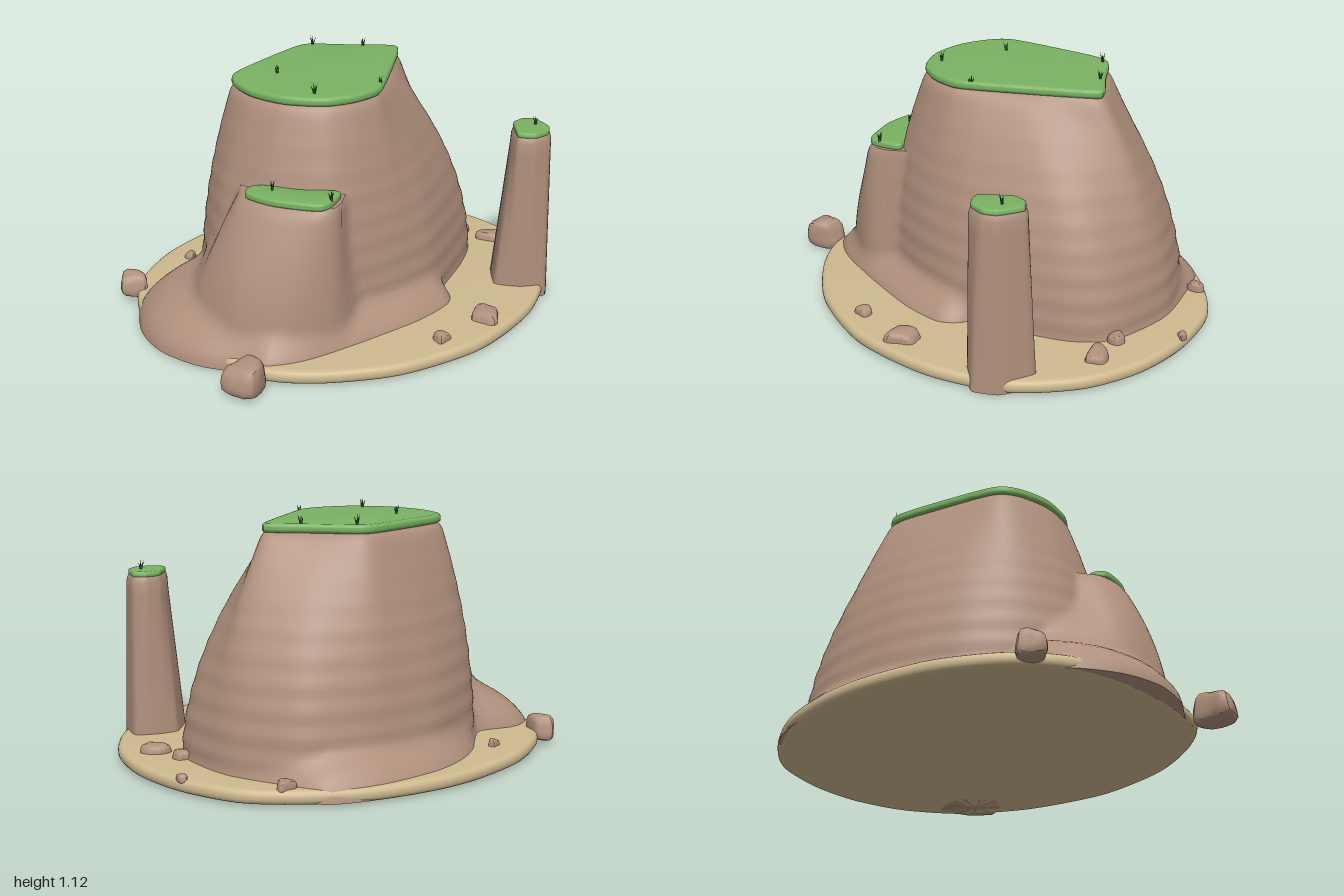
import * as THREE from 'three';
import { toCreasedNormals } from 'three/addons/utils/BufferGeometryUtils.js';

const material = (name, color) => Object.assign(new THREE.MeshStandardMaterial({ color }), { name });
const rock = material('rock', 0xb0907c);
const sand = material('sand', 0xcdb98f);
const grass = material('grass', 0x79b262);
const blade = material('blade', 0x40602f);

// Closed smooth outline through [x, z] points
function outline(points, tension = 0.4, count = 240) {
  const curve = new THREE.CatmullRomCurve3(
    points.map(([x, z]) => new THREE.Vector3(x, 0, z)), true, 'catmullrom', tension);
  return curve.getSpacedPoints(count).slice(0, -1);
}

// Radii of an outline seen from (cx, cz), one for each of n directions
function radii(points, n, tension, cx = 0, cz = 0) {
  const loop = outline(points, tension);
  return Array.from({ length: n }, (_, i) => {
    const a = (i / n) * Math.PI * 2, dx = Math.cos(a), dz = Math.sin(a);
    let best = 0.02;
    loop.forEach((p, k) => {
      const q = loop[(k + 1) % loop.length];
      const px = p.x - cx, pz = p.z - cz, ex = q.x - p.x, ez = q.z - p.z;
      const det = dx * ez - dz * ex;
      if (Math.abs(det) < 1e-9) return;
      const r = (px * ez - pz * ex) / det, t = (px * dz - pz * dx) / det;
      if (t >= 0 && t <= 1 && r > best) best = r;
    });
    return best;
  });
}

// Closed surface of stacked rings; radius(i, y) gives each vertex
function loft(n, ys, radius, cx = 0, cz = 0) {
  const pos = [], idx = [];
  ys.forEach((y, j) => {
    for (let i = 0; i < n; i++) {
      const a = (i / n) * Math.PI * 2, r = radius(i, y);
      pos.push(cx + Math.cos(a) * r, y, cz + Math.sin(a) * r);
      if (j === 0) continue;
      const a1 = j * n + i, b1 = j * n + (i + 1) % n;
      idx.push(a1 - n, a1, b1 - n, b1 - n, a1, b1);
    }
  });
  const top = (ys.length - 1) * n, c0 = ys.length * n;
  pos.push(cx, ys[0], cz, cx, ys[ys.length - 1], cz);
  for (let i = 0; i < n; i++) {
    const k = (i + 1) % n;
    idx.push(c0, i, k, c0 + 1, top + k, top + i);
  }
  const g = new THREE.BufferGeometry();
  g.setAttribute('position', new THREE.Float32BufferAttribute(pos, 3));
  g.setIndex(idx);
  return toCreasedNormals(g, 0.8);
}

// Flat slab with a rounded rim
function slab(points, y, height, rim, tension) {
  const shape = new THREE.Shape(outline(points, tension, 120).map(p => new THREE.Vector2(p.x, -p.z)));
  const g = new THREE.ExtrudeGeometry(shape, {
    depth: height - 2 * rim, bevelThickness: rim, bevelSize: rim, bevelOffset: -rim, bevelSegments: 4 });
  g.rotateX(-Math.PI / 2).translate(0, y + rim, 0);
  return toCreasedNormals(g, 0.7);
}

const smoothMax = (a, b, k) => {
  const h = Math.max(k - Math.abs(a - b), 0) / k;
  return Math.max(a, b) + h * h * k * 0.25;
};

const mesaTop = [[0.46, -0.2], [0.45, -0.14], [0.25, 0.05], [0.06, 0.22], [-0.02, 0.27], [-0.15, 0.28], [-0.28, 0.24],
  [-0.4, 0.11], [-0.45, -0.06], [-0.43, -0.22], [-0.36, -0.31], [-0.1, -0.41], [0.1, -0.47], [0.18, -0.45], [0.32, -0.32]];
const mesaBase = [[0.79, -0.12], [0.77, 0.03], [0.68, 0.15], [0.5, 0.27], [0.2, 0.42], [-0.1, 0.45], [-0.4, 0.4], [-0.6, 0.15],
  [-0.65, -0.1], [-0.56, -0.34], [-0.4, -0.52], [-0.1, -0.67], [0.25, -0.7], [0.55, -0.62], [0.74, -0.38]];
const ledgeTop = [[-0.52, 0], [-0.62, 0.09], [-0.62, 0.2], [-0.57, 0.31], [-0.47, 0.44], [-0.38, 0.46], [-0.28, 0.38],
  [-0.1, 0.18], [0.06, 0], [-0.1, -0.08]];
const ledgeBase = [[-0.62, -0.28], [-0.8, -0.13], [-0.84, 0.05], [-0.8, 0.28], [-0.65, 0.45], [-0.45, 0.51], [-0.29, 0.47],
  [0, 0.25], [0.06, 0], [-0.15, -0.15]];
const footBase = [[0.79, -0.1], [0.76, 0.04], [0.55, 0.24], [0.33, 0.36], [0.3, 0.46], [0.22, 0.54], [0, 0.58], [-0.35, 0.57],
  [-0.62, 0.54], [-0.78, 0.47], [-0.83, 0.36], [-0.94, 0.2], [-1, 0], [-0.98, -0.2], [-0.88, -0.39], [-0.75, -0.45],
  [-0.58, -0.42], [-0.48, -0.48], [-0.36, -0.63], [-0.2, -0.74], [0, -0.81], [0.3, -0.83], [0.52, -0.77], [0.61, -0.67],
  [0.7, -0.5], [0.77, -0.32]];
const ledgeGrass = [[-0.57, 0.09], [-0.62, 0.14], [-0.58, 0.28], [-0.47, 0.43], [-0.4, 0.44], [-0.3, 0.37], [-0.42, 0.25], [-0.51, 0.12]];
const pillarBase = [[0.51, 0.5], [0.62, 0.36], [0.72, 0.365], [0.82, 0.41], [0.79, 0.57], [0.7, 0.65], [0.59, 0.6]];
const pillarTop = [[0.58, 0.54], [0.67, 0.42], [0.74, 0.41], [0.785, 0.45], [0.76, 0.56], [0.71, 0.6], [0.63, 0.6]];
const sandRim = [[1, 0], [0.96, 0.28], [0.8, 0.55], [0.5, 0.75], [0.1, 0.85], [-0.3, 0.8], [-0.6, 0.65], [-0.78, 0.48],
  [-0.88, 0.2], [-0.92, -0.1], [-0.89, -0.36], [-0.75, -0.58], [-0.5, -0.75], [-0.2, -0.84], [0.05, -0.86], [0.35, -0.82],
  [0.62, -0.7], [0.82, -0.54], [0.95, -0.28]];

export function createModel() {
  const model = new THREE.Group();
  const add = (name, geometry, mat) => {
    const mesh = new THREE.Mesh(geometry, mat);
    mesh.name = name;
    model.add(mesh);
    return mesh;
  };

  add('sandBase', slab(sandRim, 0, 0.06, 0.025), sand);

  // Mesa, side ledge and spreading foot blended into one rock
  const n = 160;
  const [mt, mb, lt, lb, fb] = [mesaTop, mesaBase, ledgeTop, ledgeBase, footBase].map(p => radii(p, n, 0.4));
  const flare = (top, base, y, height) => top + (base - top) * (1 - (y / height) ** 2);
  const ys = [0.004];
  for (let y = 0.025; y < 1.0; y += 0.025) ys.push(y);
  ys.push(0.66, 0.668, 0.672, 0.676, 1.0, 1.015, 1.028, 1.037);
  ys.sort((a, b) => a - b);
  add('mesaRock', loft(n, ys, (i, y) => {
    let r = flare(mt[i], mb[i], y, 1.03) + 0.004 * Math.sin(y * 60) * (1 - y);
    if (y > 1) r -= 0.02 * ((y - 1) / 0.037) ** 2;
    if (y < 0.674) {
      const round = 0.02 * Math.max(0, (y - 0.63) / 0.044) ** 2;
      r = smoothMax(r, flare(lt[i], lb[i], y, 0.67) - round, 0.05);
    }
    return y < 0.3 ? smoothMax(r, fb[i] - 0.17 * (y / 0.19) ** 2 - 0.01, 0.05) : r;
  }), rock);
  add('mesaGrass', slab(mesaTop, 1.03, 0.04, 0.015), grass);
  add('ledgeGrass', slab(ledgeGrass, 0.668, 0.034, 0.012), grass);

  // Free-standing pillar
  const pt = radii(pillarTop, 70, 0.2, 0.67, 0.51), pb = radii(pillarBase, 70, 0.2, 0.67, 0.51);
  add('pillar', loft(70, [0, 0.15, 0.3, 0.45, 0.6, 0.7, 0.76, 0.78, 0.79], (i, y) =>
    pb[i] + (pt[i] + 0.008 - pb[i]) * (y / 0.79) - (y > 0.77 ? (y - 0.77) * 0.6 : 0), 0.67, 0.51), rock);
  add('pillarGrass', slab(pillarTop, 0.782, 0.028, 0.01, 0.2), grass);

  // Boulders and stones: x, y, z, half sizes, turn
  [[-0.88, 0.07, 0.49, 0.09, 0.075, 0.075, 0.3], [-0.82, 0.07, -0.53, 0.065, 0.06, 0.06, 1],
    [0.26, 0.065, 0.71, 0.075, 0.04, 0.06, 0.5], [-0.03, 0.065, 0.74, 0.038, 0.03, 0.032, 0],
    [0.86, 0.065, 0.12, 0.045, 0.035, 0.065, 0.6], [0.8, 0.07, -0.03, 0.035, 0.03, 0.04, 0.2],
    [0.64, 0.07, -0.63, 0.04, 0.03, 0.03, 0.2], [-0.45, 0.065, -0.62, 0.03, 0.025, 0.022, 0.4],
    [0.93, 0.06, -0.29, 0.022, 0.02, 0.022, 1.2]].forEach(([x, y, z, sx, sy, sz, turn], i) => {
    const g = new THREE.IcosahedronGeometry(1, 3), p = g.attributes.position;
    const v = new THREE.Vector3();
    for (let k = 0; k < p.count; k++) {
      v.fromBufferAttribute(p, k);
      // Squared-off lump with a slight slant
      const s = Math.pow(v.x ** 4 + v.y ** 4 + v.z ** 4, -0.25) * (0.93 + 0.09 * Math.sin(v.x * 3 + v.z * 2 + i));
      p.setXYZ(k, v.x * s * (1 - 0.2 * v.y), v.y * s, v.z * s * (1 - 0.25 * v.x));
    }
    const stone = add(i < 2 ? 'boulder' : 'stone', toCreasedNormals(g, 0.6), rock);
    stone.position.set(x, y, z);
    stone.scale.set(sx, sy, sz);
    stone.rotation.y = turn;
  });

  // Grass tufts of leaning blades
  [[-0.27, 1.068, 0.16], [-0.23, 1.068, -0.17], [0.05, 1.05, 0.21], [0.16, 1.068, -0.43], [0.34, 1.065, -0.27],
    [-0.52, 0.7, 0.19], [-0.39, 0.7, 0.43], [0.72, 0.808, 0.51]].forEach(([x, y, z], i) => {
    const tuft = new THREE.Group();
    tuft.name = 'grassTuft';
    for (let k = 0; k < 5; k++) {
      const h = 0.04 + 0.012 * ((k * 2 + i) % 3) / 2;
      const leaf = new THREE.Mesh(new THREE.ConeGeometry(0.005, h, 4).translate(0, h / 2, 0), blade);
      leaf.name = 'grassBlade';
      leaf.rotation.set(0, k * 1.257 + i, -0.15 - 0.12 * (k % 3), 'YXZ');
      tuft.add(leaf);
    }
    tuft.position.set(x, y - 0.003, z);
    model.add(tuft);
  });
  return model;
}
